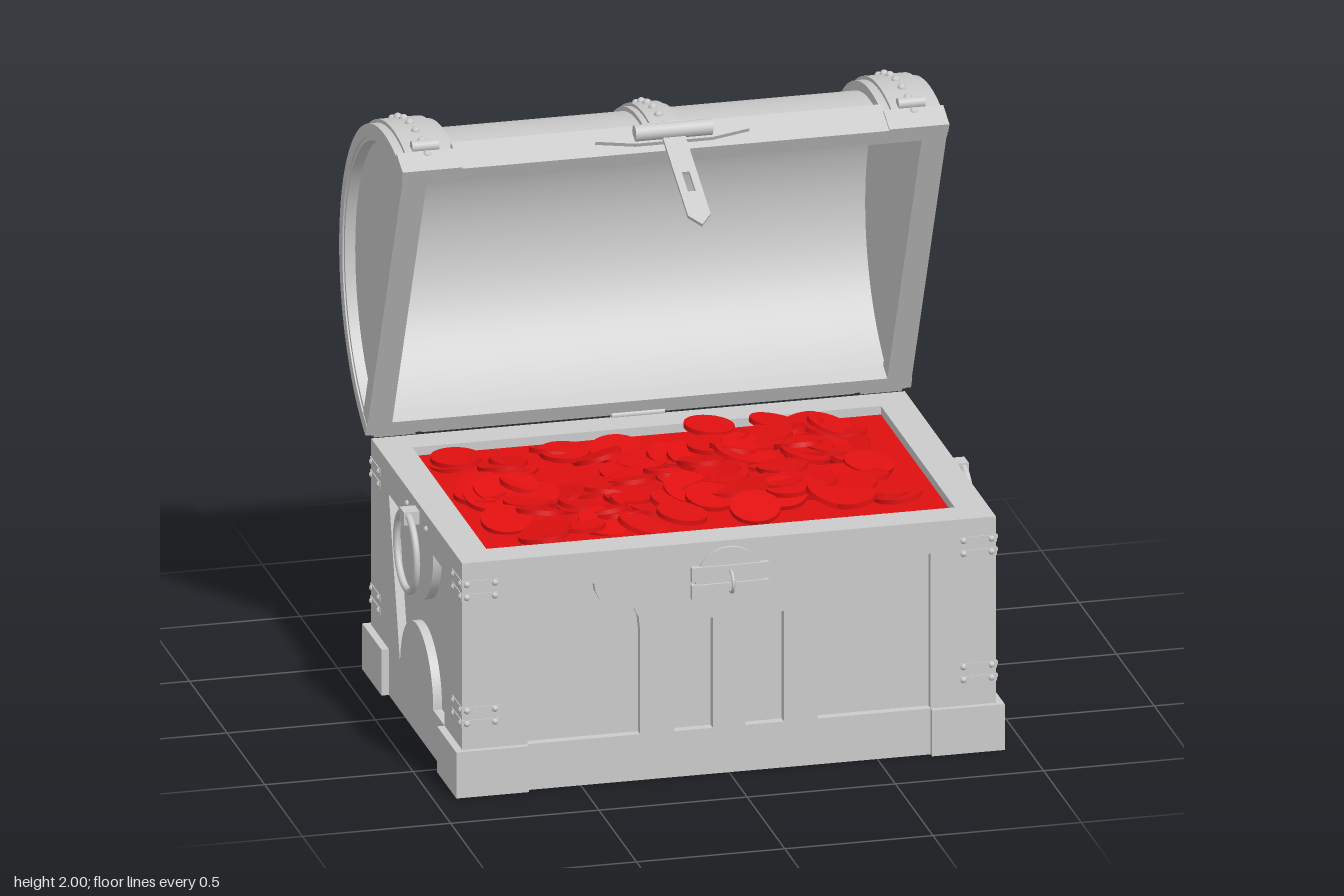
import * as THREE from 'three';
import { toCreasedNormals } from 'three/addons/utils/BufferGeometryUtils.js';

const grey = new THREE.MeshStandardMaterial({ color: 0xcccccc });
const red = new THREE.MeshStandardMaterial({ color: 0xe01010 });
const CZ = 0.155; // middle of the body in z
const HX = 0.9, HZ = 0.605, TOP = 0.81, SKIN = 0.03;

function add(parent, name, geo, x = 0, y = 0, z = 0, mat = grey) {
  const m = new THREE.Mesh(geo, mat);
  m.name = name;
  m.position.set(x, y, z);
  parent.add(m);
  return m;
}
// box given by its ranges
function block(parent, name, x0, x1, y0, y1, z0, z1) {
  return add(parent, name, new THREE.BoxGeometry(x1 - x0, y1 - y0, z1 - z0),
    (x0 + x1) / 2, (y0 + y1) / 2, (z0 + z1) / 2);
}
function poly(points, Type = THREE.Shape) {
  return new Type(points.map(([x, y]) => new THREE.Vector2(x, y)));
}
function extrude(shape, depth) {
  const g = new THREE.ExtrudeGeometry(shape, { depth, bevelEnabled: false, curveSegments: 32 });
  return toCreasedNormals(g, 0.4);
}
const studGeo = new THREE.SphereGeometry(0.015, 10, 8);
const rect = (x, y0, y1) => [[-x, y0], [x, y0], [x, y1], [-x, y1]];

// front and back skin: stepped side recesses and two slots
function longPanel() {
  const s = poly(rect(HX, 0, TOP));
  for (const d of [-1, 1]) {
    s.holes.push(poly([[0.68, 0.16], [0.3, 0.16], [0.3, 0.52], [0.305, 0.57], [0.32, 0.6], [0.35, 0.62],
      [0.41, 0.625], [0.435, 0.64], [0.45, 0.67], [0.455, 0.7], [0.68, 0.7]].map(([x, y]) => [x * d, y]), THREE.Path));
    s.holes.push(poly([[0.055, 0.16], [0.185, 0.16], [0.185, 0.545], [0.055, 0.545]].map(([x, y]) => [x * d, y]), THREE.Path));
  }
  return extrude(s, SKIN);
}
// side skin: recess cut around a lower arch and an upper half disc
function sidePanel() {
  const s = poly(rect(HZ - SKIN, 0, TOP));
  const h = new THREE.Path();
  h.moveTo(-0.37, 0.16);
  h.absarc(0, 0.16, 0.22, Math.PI, 0, true);
  h.lineTo(0.37, 0.16);
  h.lineTo(0.37, 0.7);
  h.absarc(0, 0.7, 0.22, 0, -Math.PI, true);
  h.lineTo(-0.37, 0.7);
  s.holes.push(h);
  return extrude(s, SKIN);
}

function makeBody() {
  const body = new THREE.Group();
  body.name = 'body';
  const ix = HX - SKIN, iz = HZ - SKIN;
  block(body, 'core', -ix, ix, 0.004, 0.755, CZ - iz, CZ + iz);
  // rim around the opening
  const rim = poly([[-ix, -iz], [ix, -iz], [ix, iz], [-ix, iz]]);
  rim.holes.push(poly([[-0.79, -0.49], [0.79, -0.49], [0.79, 0.49], [-0.79, 0.49]], THREE.Path));
  add(body, 'rim', extrude(rim, 0.09).rotateX(-Math.PI / 2), 0, TOP - 0.09, CZ);

  const long = longPanel(), side = sidePanel();
  add(body, 'frontPanel', long, 0, 0, CZ + iz);
  add(body, 'backPanel', long, 0, 0, CZ - iz).rotation.y = Math.PI;
  const prong = new THREE.BoxGeometry(0.13, 0.024, 0.006);
  for (const sx of [-1, 1]) {
    add(body, 'sidePanel', side, sx * ix, 0, CZ).rotation.y = sx * Math.PI / 2;
    for (const sz of [-1, 1]) {
      // corner feet
      const foot = new THREE.BoxGeometry(0.245, 0.16, 0.255);
      add(body, 'foot', foot, sx * 0.8025, 0.08, CZ + sz * 0.4975);
      // corner straps and their rivets
      for (const y of [0.25, 0.295, 0.69, 0.735]) {
        add(body, 'cornerStrap', prong, sx * (HX - 0.062), y, CZ + sz * HZ);
        add(body, 'cornerStrap', prong, sx * HX, y, CZ + sz * (HZ - 0.062)).rotation.y = Math.PI / 2;
        for (const d of [0.015, 0.11]) {
          add(body, 'rivet', studGeo, sx * (HX - d), y, CZ + sz * HZ).scale.setScalar(0.75);
          add(body, 'rivet', studGeo, sx * HX, y, CZ + sz * (HZ - d)).scale.setScalar(0.75);
        }
      }
    }
    // ring handle, clip and rivets
    add(body, 'ringHandle', new THREE.TorusGeometry(0.133, 0.012, 10, 40), sx * 0.936, 0.642, CZ + 0.008).rotation.y = Math.PI / 2;
    add(body, 'handleClip', new THREE.BoxGeometry(0.065, 0.045, 0.06), sx * 0.92, 0.765, CZ + 0.008);
    for (const d of [-0.125, 0.125]) add(body, 'rivet', studGeo, sx * HX, 0.76, CZ + 0.008 + d).scale.setScalar(0.75);
  }

  // lock plate: disc with a cross band, slit and staple
  const fz = CZ + HZ;
  add(body, 'lockPlate', new THREE.CylinderGeometry(0.115, 0.115, 0.024, 32).rotateX(Math.PI / 2), 0, 0.675, fz);
  for (const y of [0.643, 0.704]) add(body, 'lockBand', new THREE.BoxGeometry(0.26, 0.05, 0.04), 0, y, fz);
  add(body, 'staple', new THREE.TorusGeometry(0.035, 0.006, 8, 24), 0, 0.675, fz + 0.025).rotation.y = Math.PI / 2;

  // back hinge
  const bz = CZ - HZ;
  add(body, 'hingePin', new THREE.CylinderGeometry(0.014, 0.014, 0.18, 12).rotateZ(Math.PI / 2), 0, 0.815, bz - 0.006);
  block(body, 'hingeLeaf', -0.05, 0.05, 0.74, 0.81, bz - 0.008, bz + 0.005);
  add(body, 'rivet', studGeo, 0, 0.77, bz - 0.008);
  return body;
}

// half ring (or half disc) standing on the lid's open face, centred on x
function halfRing(rOut, rIn, x0, x1) {
  const s = new THREE.Shape();
  s.absarc(0, 0, rOut, 0, Math.PI, false);
  if (rIn > 0) s.absarc(0, 0, rIn, Math.PI, 0, true);
  s.closePath();
  return extrude(s, x1 - x0).rotateY(-Math.PI / 2).translate(x1, 0, HZ);
}

function makeLid() {
  const lid = new THREE.Group();
  lid.name = 'lid';
  const L = 2 * HZ;
  add(lid, 'lidShell', halfRing(0.565, 0.55, -0.86, 0.86));
  // long rails along both edges of the open face
  block(lid, 'backRail', -0.9, 0.9, 0, 0.1, 0.004, 0.058);
  block(lid, 'frontRail', -0.9, 0.9, 0, 0.1, L - 0.058, L - 0.004);
  block(lid, 'frontRailCap', -0.73, 0.73, 0, 0.125, L - 0.05, L);
  block(lid, 'backRailCap', -0.73, 0.73, 0, 0.125, 0, 0.05);

  const studs = (x, r) => {
    for (let i = 0; i < 23; i++) {
      const a = 0.13 + (Math.PI - 0.26) * i / 22;
      add(lid, 'stud', studGeo, x, r * Math.sin(a), HZ + r * Math.cos(a));
    }
  };
  for (const s of [-1, 1]) {
    const span = (a, b) => s > 0 ? [a, b] : [-b, -a];
    add(lid, 'endBand', halfRing(0.598, 0.556, ...span(0.72, 0.92)));
    add(lid, 'endLip', halfRing(0.59, 0.542, ...span(0.86, 0.915)));
    add(lid, 'endStrip', halfRing(0.61, 0.59, ...span(0.75, 0.89)));
    add(lid, 'endWall', halfRing(0.556, 0, ...span(0.842, 0.88)));
    const [x0, x1] = span(0.835, 0.918);
    block(lid, 'endRail', x0, x1, 0, 0.062, 0.02, L - 0.02);
    // tail plates where the bands meet the front rail
    block(lid, 'bandTail', ...span(0.72, 0.922), 0, 0.09, L - 0.03, L + 0.006);
    studs(s * 0.82, 0.61);
    add(lid, 'tailKnob', new THREE.CylinderGeometry(0.02, 0.02, 0.09, 12).rotateZ(Math.PI / 2), s * 0.82, 0.12, L);
  }
  add(lid, 'middleBand', halfRing(0.58, 0.56, -0.065, 0.065));
  add(lid, 'middleStrip', halfRing(0.59, 0.57, -0.045, 0.045));
  studs(0, 0.59);
  block(lid, 'backHingeLeaf', -0.09, 0.09, 0.01, 0.1, -0.01, 0.02);
  for (const x of [-0.05, 0.05]) add(lid, 'rivet', studGeo, x, 0.06, -0.01);

  // winged bracket, barrel and hanging hasp on the front edge
  const wing = poly([[-0.26, 0.055], [-0.13, 0.03], [0.13, 0.03], [0.26, 0.055], [0.2, 0.095], [0.07, 0.12], [-0.07, 0.12], [-0.2, 0.095]]);
  add(lid, 'haspBracket', extrude(wing, 0.016), 0, 0, L - 0.002);
  add(lid, 'haspBarrel', new THREE.CylinderGeometry(0.027, 0.027, 0.26, 16).rotateZ(Math.PI / 2), 0, 0.06, L + 0.032);
  const hasp = poly([[-0.038, 0.06], [-0.038, -0.33], [0, -0.375], [0.038, -0.33], [0.038, 0.06]]);
  hasp.holes.push(poly([[-0.013, -0.22], [0.013, -0.22], [0.013, -0.13], [-0.013, -0.13]], THREE.Path));
  add(lid, 'hasp', extrude(hasp, 0.012), 0, 0, L + 0.014);

  lid.position.set(0, TOP + 0.006, CZ - HZ);
  lid.rotation.x = -65.4 * Math.PI / 180;
  return lid;
}

function makeCoins() {
  const coins = new THREE.Group();
  coins.name = 'coins';
  add(coins, 'coinBed', new THREE.BoxGeometry(1.58, 0.03, 0.98), 0, 0.765, CZ, red);
  let seed = 11;
  const rnd = () => (seed = (seed * 16807) % 2147483647) / 2147483647;
  const geo = toCreasedNormals(new THREE.CylinderGeometry(0.084, 0.084, 0.016, 24), 0.6);
  for (let i = 0; i < 95; i++) {
    const x = (rnd() * 2 - 1) * 0.68, z = CZ + (rnd() * 2 - 1) * 0.39;
    const mound = 0.035 * Math.exp(-((x - 0.33) ** 2) * 12) + 0.008;
    const c = add(coins, 'coin', geo, x, 0.783 + mound + rnd() * 0.018, z, red);
    const tilt = 0.35 * rnd();
    const turn = rnd() * Math.PI * 2;
    c.rotation.set(tilt * Math.cos(turn), 0, tilt * Math.sin(turn));
  }
  return coins;
}

export function createModel() {
  const chest = new THREE.Group();
  chest.name = 'chest';
  chest.add(makeBody(), makeLid(), makeCoins());
  return chest;
}
